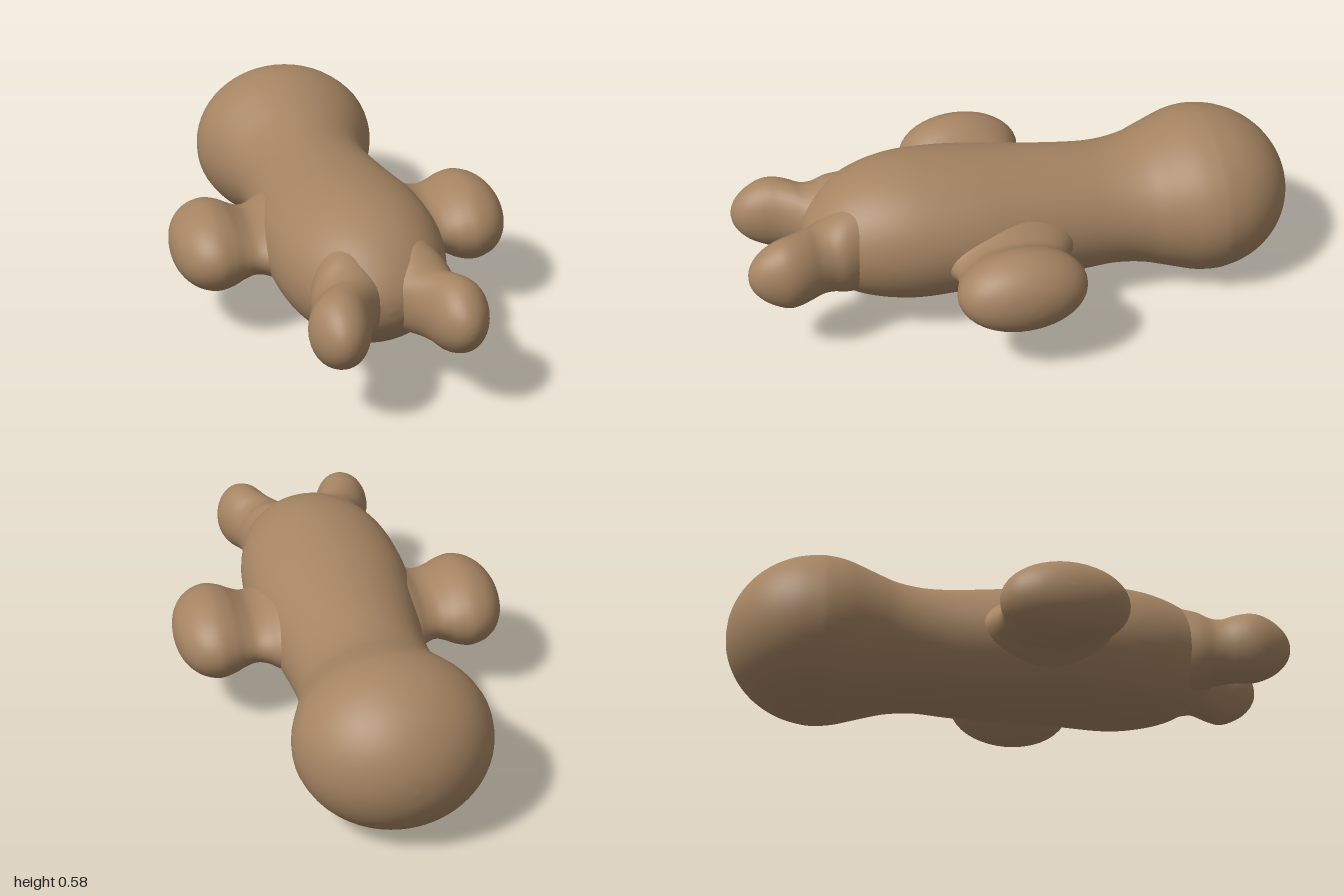
import * as THREE from 'three';
import { mergeVertices } from 'three/addons/utils/BufferGeometryUtils.js';

const skin = new THREE.MeshStandardMaterial({ color: 0xa58462 });
skin.name = 'warm brown';

// Smooth loft along +z; each section is [z, centre x, radius x, centre y, radius y]
function loft(sections, rings, sides) {
  const curve = (i, j) => new THREE.CatmullRomCurve3(
    sections.map((s) => new THREE.Vector3(s[0], s[i], s[j])), false, 'catmullrom', 0.5);
  const centres = curve(1, 3);
  const radii = curve(2, 4);
  const pos = [];
  const index = [];
  for (let r = 0; r <= rings; r++) {
    const c = centres.getPoint(r / rings);
    const q = radii.getPoint(r / rings);
    for (let k = 0; k < sides; k++) {
      const a = (k / sides) * Math.PI * 2;
      pos.push(c.y + Math.max(q.y, 0) * Math.cos(a), c.z + Math.max(q.z, 0) * Math.sin(a), c.x);
      if (r === rings) continue;
      const n = (k + 1) % sides;
      const p = r * sides;
      index.push(p + k, p + n, p + sides + n, p + k, p + sides + n, p + sides + k);
    }
  }
  const g = new THREE.BufferGeometry();
  g.setAttribute('position', new THREE.Float32BufferAttribute(pos, 3));
  g.setIndex(index);
  const merged = mergeVertices(g, 1e-5);
  merged.computeVertexNormals();
  return merged;
}

function addMesh(group, geometry, name) {
  const mesh = new THREE.Mesh(geometry, skin);
  mesh.name = name;
  group.add(mesh);
}

export function createModel() {
  const group = new THREE.Group();
  group.name = 'blobFigure';

  // Rounded rear bulb: ellipsoid sections
  const bulb = [0, 12, 24, 36, 48, 60, 72, 84, 92].map((d) => {
    const a = THREE.MathUtils.degToRad(d);
    return [-0.68 - 0.32 * Math.cos(a), 0, 0.338 * Math.sin(a), 0.297, 0.292 * Math.sin(a)];
  });
  // Body flowing from the bulb to the rounded front: [z, half width, bottom, top]
  const trunk = [
    [-0.6, 0.325, 0.014, 0.58], [-0.5, 0.288, 0.043, 0.547], [-0.42, 0.26, 0.064, 0.522],
    [-0.32, 0.246, 0.075, 0.511], [-0.2, 0.25, 0.07, 0.518], [0, 0.275, 0.07, 0.54],
    [0.2, 0.298, 0.078, 0.566], [0.38, 0.295, 0.074, 0.58], [0.5, 0.275, 0.088, 0.57],
    [0.6, 0.242, 0.117, 0.54], [0.67, 0.205, 0.155, 0.5], [0.72, 0.162, 0.197, 0.455],
    [0.755, 0.113, 0.238, 0.412], [0.775, 0.06, 0.28, 0.37], [0.782, 0, 0.325, 0.325],
  ].map(([z, w, b, t]) => [z, 0, w, (b + t) / 2, (t - b) / 2]);
  addMesh(group, loft([...bulb, ...trunk], 110, 56), 'body');

  for (const s of [1, -1]) {
    const side = s > 0 ? 'left' : 'right';

    // Side paddles: [distance from middle, half length, half height]
    const arm = loft([
      [0.2, 0.265, 0.15], [0.25, 0.243, 0.122], [0.29, 0.215, 0.1], [0.33, 0.198, 0.097],
      [0.37, 0.202, 0.113], [0.41, 0.216, 0.134], [0.46, 0.226, 0.145], [0.51, 0.212, 0.134],
      [0.55, 0.178, 0.11], [0.58, 0.123, 0.075], [0.595, 0.06, 0.037], [0.6, 0, 0],
    ].map(([d, l, h]) => [d, -s * 0.107, l, 0.302, h]), 55, 40);
    arm.rotateY(s * Math.PI / 2);
    addMesh(group, arm, side + 'Arm');

    // Front stubs: [z, inner x, outer x, bottom, top]
    const stub = loft([
      [0.6, -0.02, 0.225, 0.17, 0.5], [0.66, -0.02, 0.242, 0.18, 0.485],
      [0.71, -0.01, 0.247, 0.197, 0.46], [0.75, 0.012, 0.26, 0.207, 0.45],
      [0.79, 0.05, 0.28, 0.207, 0.456], [0.83, 0.078, 0.294, 0.203, 0.461],
      [0.87, 0.094, 0.297, 0.202, 0.46], [0.91, 0.107, 0.288, 0.217, 0.447],
      [0.95, 0.126, 0.27, 0.242, 0.423], [0.98, 0.152, 0.246, 0.274, 0.392],
      [0.995, 0.177, 0.223, 0.304, 0.362], [1, 0.2, 0.2, 0.333, 0.333],
    ].map(([z, i, o, b, t]) => [z, s * (i + o) / 2, (o - i) / 2, (b + t) / 2, (t - b) / 2]), 55, 36);
    addMesh(group, stub, side + 'FrontStub');
  }
  return group;
}
